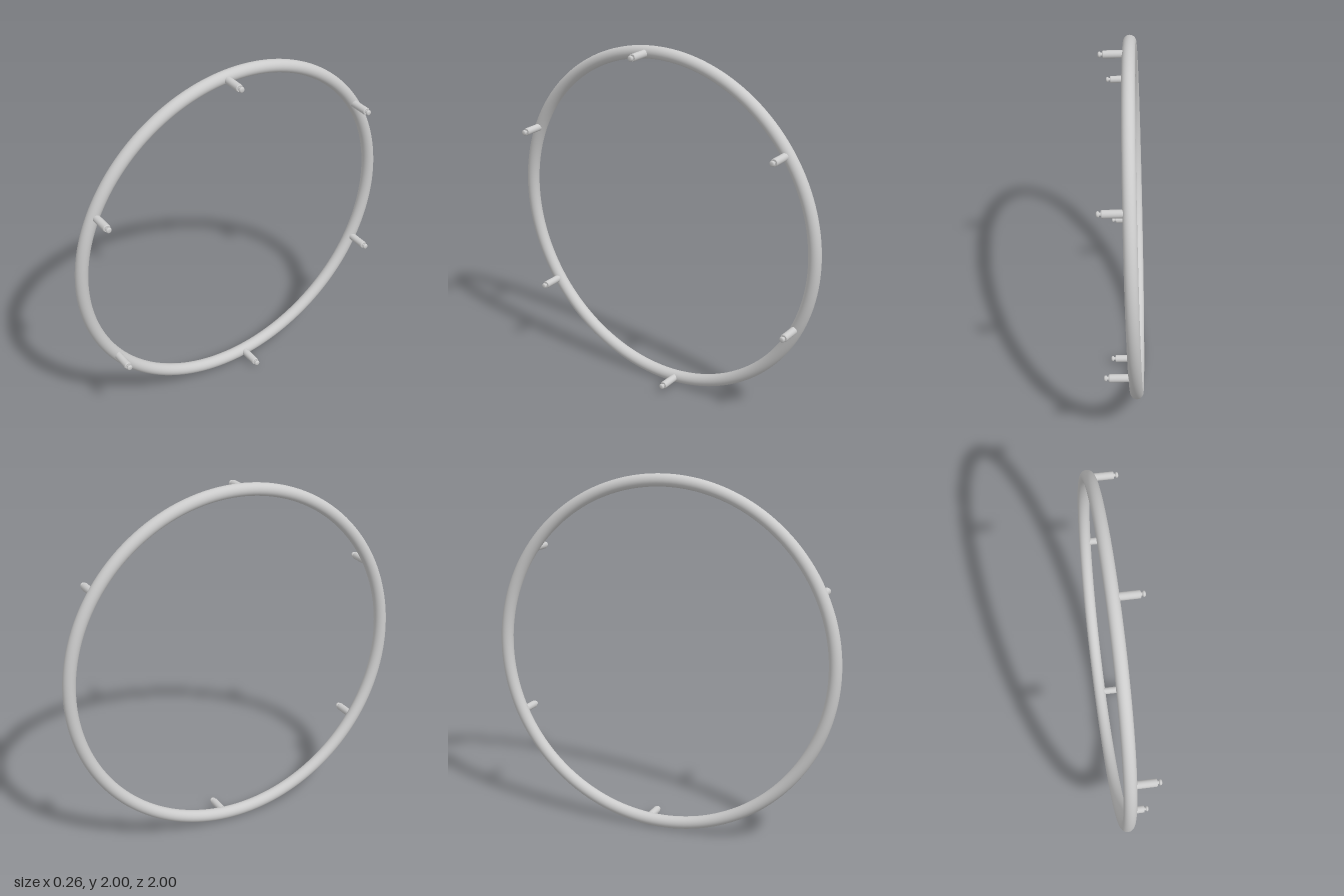
import * as THREE from 'three';

export function createModel() {
  const material = new THREE.MeshStandardMaterial({ color: 0xcccccc });
  const model = new THREE.Group();
  model.name = 'tiltedRing';
  const ringRadius = 0.965, tubeRadius = 0.035;

  // Round hoop, its axis along x
  const hoop = new THREE.Mesh(new THREE.TorusGeometry(ringRadius, tubeRadius, 32, 160), material);
  hoop.name = 'hoop';
  hoop.rotation.y = Math.PI / 2;
  model.add(hoop);

  // Stud profile: shank, narrow neck and small button, with hard edges between the runs
  const runs = [
    [[0.021, 0], [0.021, 0.132]],
    [[0.021, 0.132], [0.018, 0.136]],
    [[0.018, 0.136], [0.009, 0.136]],
    [[0.009, 0.136], [0.009, 0.144]],
    [[0.009, 0.144], [0.014, 0.146], [0.016, 0.151], [0.014, 0.157], [0.009, 0.16], [0, 0.16]],
  ];
  const studParts = runs.map(run =>
    new THREE.LatheGeometry(run.map(([r, y]) => new THREE.Vector2(r, y)), 24));

  // Six studs evenly spaced around the hoop, all pointing to +x
  for (let i = 0; i < 6; i++) {
    const angle = 0.083 + i * Math.PI / 3;
    const stud = new THREE.Group();
    stud.name = `stud${i + 1}`;
    studParts.forEach(geometry => stud.add(new THREE.Mesh(geometry, material)));
    stud.rotation.z = -Math.PI / 2;
    stud.position.set(0, Math.cos(angle) * 0.962, Math.sin(angle) * 0.962);
    model.add(stud);
  }

  // Slight lean of the whole assembly
  model.rotation.z = -0.034;
  model.position.set(-0.063, 1, 0);
  const root = new THREE.Group();
  root.name = 'studdedHoop';
  root.add(model);
  return root;
}
